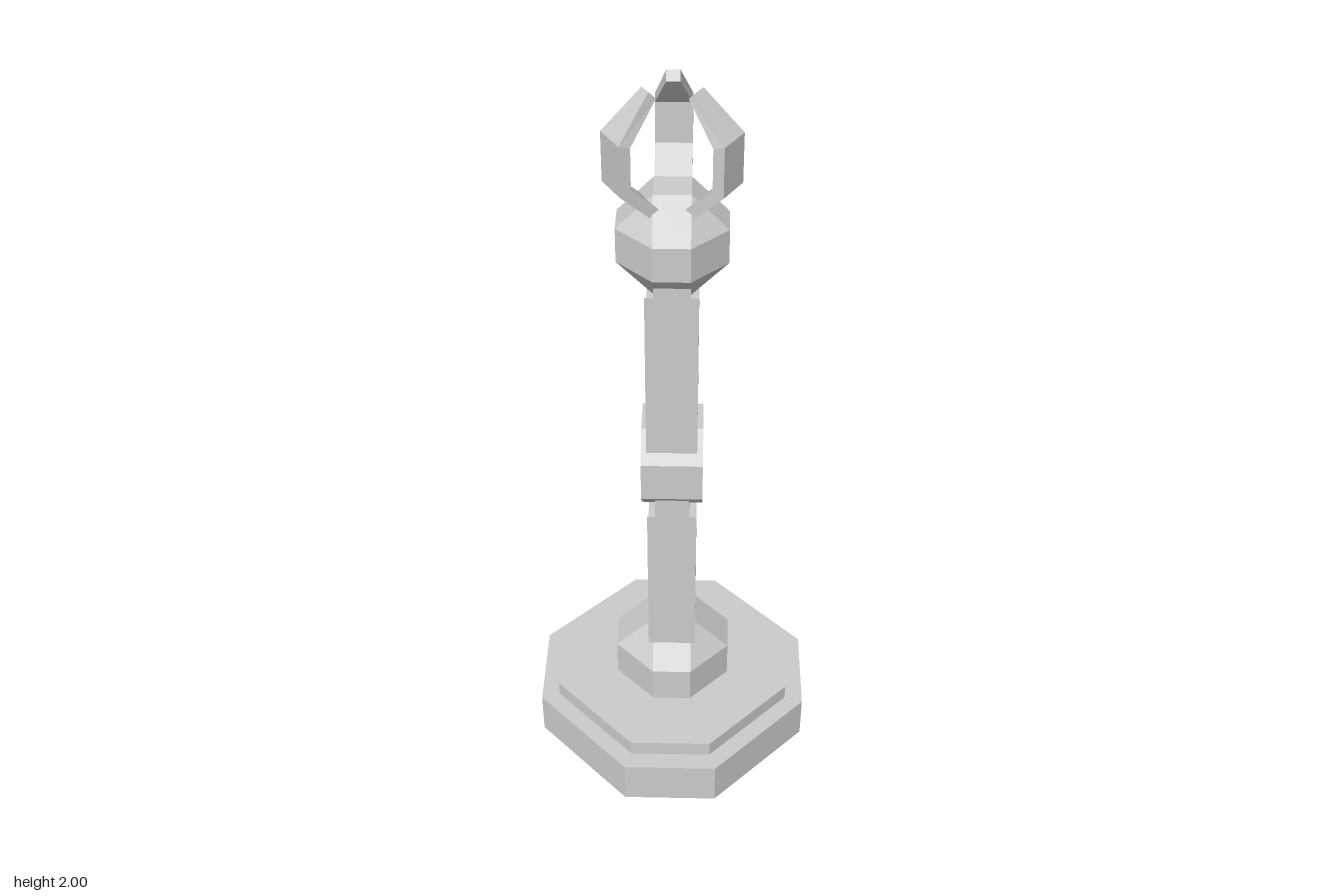
import * as THREE from 'three';

const material = new THREE.MeshStandardMaterial({ color: 0xcccccc, flatShading: true, side: THREE.DoubleSide });

// Eight corners of a chamfered square: half width r, half length of the straight side c
const octagon = (r, c = r / 3) => [[r, -c], [r, c], [c, r], [-c, r], [-r, c], [-r, -c], [-c, -r], [c, -r]];

// Skin of stacked octagons, each given as [r, y, c], listed from bottom to top
function loft(rings) {
  const pos = [];
  const loops = rings.map(([r, y, c]) => octagon(r, c).map(([x, z]) => [x, y, z]));
  for (let k = 0; k < loops.length - 1; k++) {
    for (let i = 0; i < 8; i++) {
      const j = (i + 1) % 8;
      const a = loops[k][i], b = loops[k][j], c = loops[k + 1][j], d = loops[k + 1][i];
      pos.push(...a, ...d, ...c, ...a, ...c, ...b);
    }
  }
  const geo = new THREE.BufferGeometry();
  geo.setAttribute('position', new THREE.Float32BufferAttribute(pos, 3));
  geo.computeVertexNormals();
  return geo;
}

const shapeOf = (points) => new THREE.Shape(points.map(([x, y]) => new THREE.Vector2(x, y)));

// Flat profile given centred thickness along z
function slab(shape, width) {
  const geo = new THREE.ExtrudeGeometry(shape, { depth: width, bevelEnabled: false });
  return geo.translate(0, 0, -width / 2);
}

export function createModel() {
  const model = new THREE.Group();
  const add = (name, geo) => {
    const mesh = new THREE.Mesh(geo, material);
    mesh.name = name;
    model.add(mesh);
    return mesh;
  };

  // Hollow stepped base, open underneath
  add('base', loft([[0.38, 0], [0.38, 0.13], [0.33, 0.13], [0.33, 0.175], [0.16, 0.175]]));

  // Shoulder dome on the base, narrowing to a square top
  add('shoulder', loft([[0.16, 0.175], [0.16, 0.283], [0.053, 0.39, 0.053], [0, 0.39, 0]]));

  // Narrow core running through the gaps between the beams
  add('core', new THREE.BoxGeometry(0.09, 1.26, 0.18).translate(0, 0.95, 0));

  // Two beams with notched ends that clear the joints
  const beam = (name, y0, y0Mid, y1Mid, y1, c0, c1) => add(name, slab(shapeOf([
    [-0.125, y0], [-c0, y0Mid], [c0, y0Mid], [0.125, y0],
    [0.125, y1], [c1, y1Mid], [-c1, y1Mid], [-0.125, y1],
  ]), 0.13).rotateY(Math.PI / 2));
  beam('lowerArm', 0.365, 0.44, 0.765, 0.835, 0.05, 0.055);
  beam('upperArm', 1.05, 1.12, 1.445, 1.515, 0.055, 0.055);

  // Elbow: octagonal ring with a recessed disc on each side
  const ring = shapeOf(octagon(0.124, 0.055));
  ring.holes.push(shapeOf(octagon(0.08, 0.033)));
  const elbow = slab(ring, 0.16).rotateY(Math.PI / 2);
  add('elbow', elbow.translate(0, 0.951, 0));
  add('elbowRecess', slab(shapeOf(octagon(0.08, 0.033)), 0.132).rotateY(Math.PI / 2).translate(0, 0.951, 0));

  // Chamfered wrist block
  add('wrist', loft([
    [0, 1.475, 0], [0.045, 1.475, 0.045], [0.135, 1.565],
    [0.135, 1.655], [0.045, 1.745, 0.045], [0, 1.745, 0],
  ]));

  // Three claws, tapering from the upper bend to the tip
  const claw = slab(shapeOf([
    [0.06, 1.68], [0.161, 1.777], [0.161, 1.902], [0.07, 2.0],
    [0.051, 1.98], [0.132, 1.892], [0.132, 1.788], [0.035, 1.695],
  ]), 0.09);
  const p = claw.attributes.position;
  for (let i = 0; i < p.count; i++) {
    if (p.getY(i) > 1.95) p.setZ(i, p.getZ(i) * 0.36);
  }
  claw.computeVertexNormals();
  for (let i = 0; i < 3; i++) {
    add(['backClaw', 'leftClaw', 'rightClaw'][i], claw).rotation.y = Math.PI / 2 + [0, -2, 2][i] * Math.PI / 3;
  }

  return model;
}
